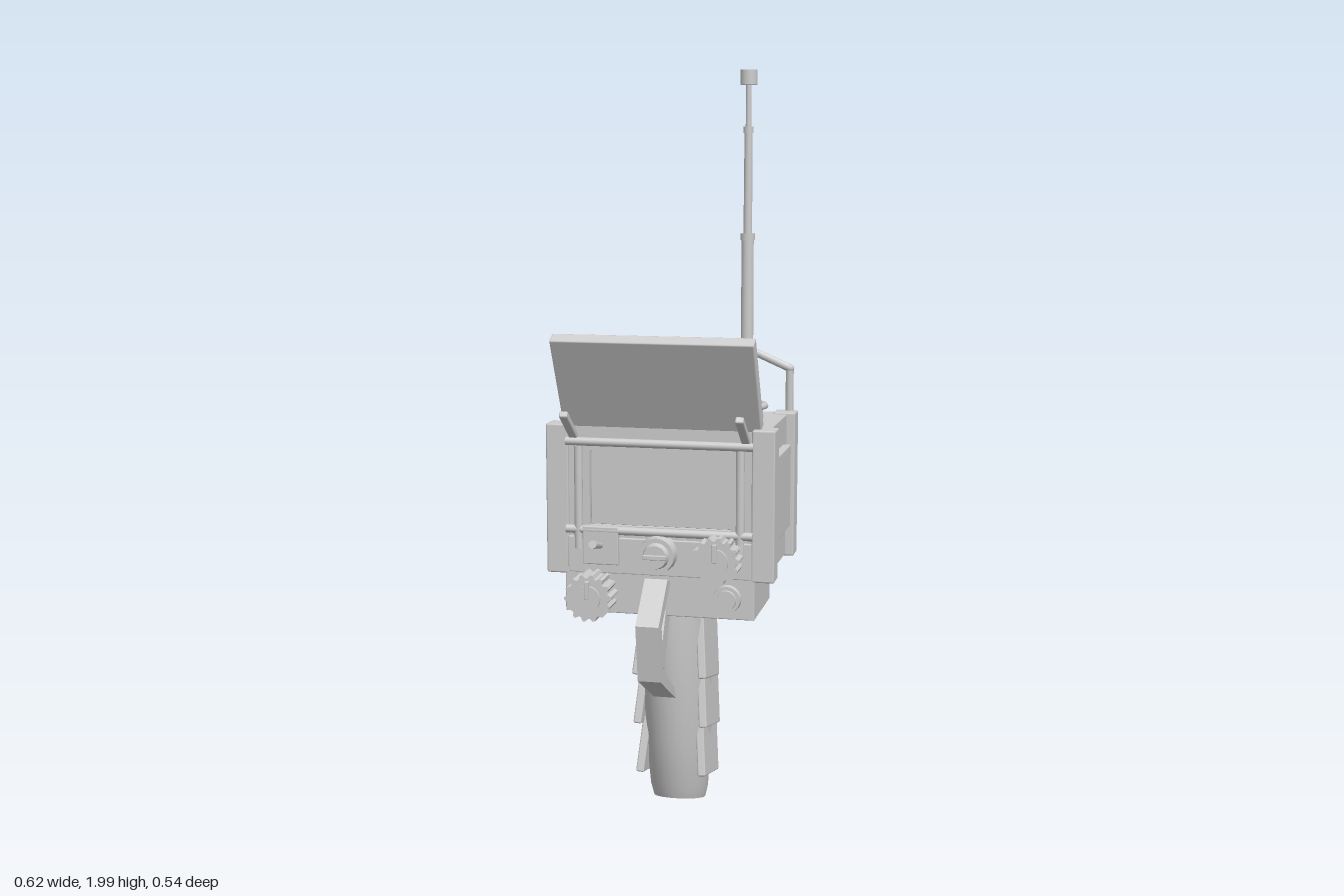
import * as THREE from 'three';
import { RoundedBoxGeometry } from 'three/addons/geometries/RoundedBoxGeometry.js';
import { toCreasedNormals } from 'three/addons/utils/BufferGeometryUtils.js';

export function createModel() {
  const root = new THREE.Group();
  root.name = 'handheldScanner';
  const grey = new THREE.MeshStandardMaterial({ color: 0xcccccc });
  grey.name = 'light grey';

  const add = (name, geo, x = 0, y = 0, z = 0, parent = root) => {
    const m = new THREE.Mesh(geo, grey);
    m.name = name;
    m.position.set(x, y, z);
    parent.add(m);
    return m;
  };
  // Box given by its limits on each axis
  const box = (name, [x0, x1], [y0, y1], [z0, z1], r = 0.003) =>
    add(name, new RoundedBoxGeometry(x1 - x0, y1 - y0, z1 - z0, 1, r),
      (x0 + x1) / 2, (y0 + y1) / 2, (z0 + z1) / 2);
  const cylY = (name, r0, r1, y0, y1, x, z, n = 16) =>
    add(name, new THREE.CylinderGeometry(r1, r0, y1 - y0, n), x, (y0 + y1) / 2, z);
  const cylZ = (name, r0, r1, z0, z1, x, y, n = 20) => {
    const m = add(name, new THREE.CylinderGeometry(r1, r0, z1 - z0, n), x, y, (z0 + z1) / 2);
    m.rotation.x = Math.PI / 2;
    return m;
  };
  // Side outline of (z, y) points, extruded across x
  const sidePlate = (name, points, width) => {
    const shape = new THREE.Shape(points.map(p => new THREE.Vector2(...p)));
    const geo = new THREE.ExtrudeGeometry(shape, { depth: width, bevelEnabled: false });
    geo.translate(0, 0, -width / 2).rotateY(-Math.PI / 2);
    return add(name, geo);
  };

  // Housing, corner posts and side plates
  box('housing', [-0.277, 0.277], [0.715, 1.098], [-0.237, 0.105]);
  for (const s of [-1, 1]) {
    const span = (a, b) => s > 0 ? [a, b] : [-b, -a];
    box('frontPost', span(0.24, 0.3), [0.71, 1.103], [0.07, 0.133], 0.005);
    box('rearPost', span(0.24, 0.3), [0.71, 1.103], [-0.25, -0.19], 0.005);
    box('sidePlate', span(0.26, 0.297), [0.805, 1.025], [-0.145, 0.07]);
  }

  // Button panel on the right side
  box('buttonPanel', [-0.305, -0.29], [0.88, 1.01], [-0.055, 0.03]);
  for (let i = 0; i < 4; i++) {
    const y = 0.91 + i * 0.024;
    box('sideButton', [-0.311, -0.3], [y, y + 0.014], [-0.022, -0.008], 0.002);
  }

  // Roof: raised plate, small stud and louvred vent
  box('roofPlate', [-0.277, -0.14], [1.09, 1.104], [-0.223, 0.065]);
  box('roofStud', [-0.208, -0.192], [1.1, 1.112], [-0.08, -0.064], 0.002);
  box('ventBase', [-0.133, 0.135], [1.09, 1.102], [-0.166, 0.03], 0.002);
  for (let i = 0; i < 9; i++) {
    const slat = add('ventSlat', new THREE.BoxGeometry(0.266, 0.006, 0.021), 0.001, 1.104, -0.154 + i * 0.0215);
    slat.rotation.x = 0.25;
  }

  // Telescopic antenna
  const ax = 0.18, az = -0.122;
  cylY('antennaFlange', 0.046, 0.044, 1.095, 1.125, ax, az);
  const ring = add('antennaRing', new THREE.TorusGeometry(0.05, 0.009, 8, 14), ax, 1.13, az);
  ring.rotation.x = Math.PI / 2;
  cylY('antennaSocket', 0.03, 0.024, 1.1, 1.195, ax, az);
  cylY('antennaLower', 0.017, 0.016, 1.18, 1.57, ax, az);
  cylY('antennaCollar', 0.019, 0.019, 1.565, 1.583, ax, az);
  cylY('antennaMiddle', 0.0115, 0.0105, 1.58, 1.845, ax, az);
  cylY('antennaCollar', 0.0135, 0.0135, 1.84, 1.857, ax, az);
  cylY('antennaUpper', 0.0075, 0.007, 1.855, 1.965, ax, az);
  cylY('antennaCap', 0.022, 0.022, 1.962, 2.0, ax, az);

  // Drooping side arms on the antenna
  for (const s of [-1, 1]) {
    const pts = [[0, 1.282], [0.115 * s, 1.232], [0.115 * s, 1.12]]
      .map(([x, y]) => new THREE.Vector3(ax + x, y, az));
    for (let i = 0; i < 2; i++) {
      const d = pts[i + 1].clone().sub(pts[i]);
      const bar = add('antennaArm', new THREE.CylinderGeometry(0.0105, 0.0105, d.length(), 8));
      bar.position.copy(pts[i]).addScaledVector(d, 0.5);
      bar.quaternion.setFromUnitVectors(new THREE.Vector3(0, 1, 0), d.normalize());
    }
    add('antennaElbow', new THREE.SphereGeometry(0.012, 8, 6), pts[1].x, pts[1].y, az);
  }

  // Open lid and its two struts
  const lid = add('lid', new RoundedBoxGeometry(0.52, 0.265, 0.036, 1, 0.004), 0, 1.218, 0.15);
  lid.rotation.x = 0.487;
  for (const s of [-1, 1]) {
    const strut = add('lidStrut', new RoundedBoxGeometry(0.022, 0.018, 0.125, 1, 0.004), 0.225 * s, 1.107, 0.176);
    strut.rotation.x = -0.63;
  }

  // Screen surround with rails
  const rect = (P, x0, x1, y0, y1) => {
    const p = new P();
    p.moveTo(x0, y0); p.lineTo(x1, y0); p.lineTo(x1, y1); p.lineTo(x0, y1); p.closePath();
    return p;
  };
  const bezel = rect(THREE.Shape, -0.242, 0.242, 0.72, 1.055);
  bezel.holes.push(rect(THREE.Path, -0.185, 0.185, 0.84, 1.035));
  add('screenBezel', new THREE.ExtrudeGeometry(bezel, { depth: 0.025, bevelEnabled: false }), 0, 0, 0.1);
  box('screen', [-0.185, 0.185], [0.84, 1.035], [0.1, 0.108], 0.001);
  for (const s of [-1, 1]) cylY('screenRail', 0.011, 0.011, 0.78, 1.05, 0.212 * s, 0.135, 10);
  for (const y of [0.83, 1.06]) {
    const rail = cylZ('screenCrossRail', 0.011, 0.011, -0.245, 0.245, 0, y, 10);
    rail.rotation.set(0, 0, Math.PI / 2);
    rail.position.z = 0.135;
  }

  // Control strip and lower chassis
  box('controlStrip', [-0.242, 0.242], [0.715, 0.81], [0.1, 0.133]);
  box('lowerChassis', [-0.25, 0.25], [0.61, 0.72], [-0.105, 0.132]);

  // Ribbed knobs
  const knob = (x, y, r, length) => {
    const shape = new THREE.Shape();
    const n = 14;
    for (let i = 0; i < n * 4; i++) {
      const a = i / (n * 4) * Math.PI * 2, q = i % 4 < 2 ? r : r * 0.86;
      shape[i ? 'lineTo' : 'moveTo'](Math.cos(a) * q, Math.sin(a) * q);
    }
    add('ribbedKnob', new THREE.ExtrudeGeometry(shape, { depth: length, bevelEnabled: false }), x, y, 0.135);
    cylZ('knobCap', r * 0.62, r * 0.55, 0.13, 0.142 + length, x, y);
    box('knobPointer', [x - 0.006, x + 0.006], [y, y + r * 0.75], [0.13 + length, 0.148 + length], 0.002);
  };
  knob(0.16, 0.775, 0.062, 0.065);
  knob(-0.17, 0.665, 0.062, 0.075);

  // Small dial, centre button and toggle switch
  cylZ('smallDialRim', 0.037, 0.035, 0.13, 0.148, 0.18, 0.665);
  cylZ('smallDial', 0.027, 0.025, 0.14, 0.155, 0.18, 0.665);
  cylZ('centreButtonBase', 0.05, 0.046, 0.125, 0.165, 0, 0.775);
  cylZ('centreButton', 0.036, 0.03, 0.16, 0.182, 0, 0.775);
  box('centreButtonBar', [-0.03, 0.03], [0.769, 0.781], [0.175, 0.19], 0.002);
  box('switchPlate', [-0.2, -0.105], [0.74, 0.84], [0.12, 0.145]);
  const toggle = cylZ('toggleSwitch', 0.007, 0.011, 0.14, 0.225, -0.152, 0.8, 10);
  toggle.rotation.x = Math.PI / 2 - 0.25;

  // Trigger and guard
  sidePlate('triggerGuard', [[0.165, 0.715], [0.268, 0.615], [0.243, 0.465], [0.065, 0.37],
    [0.08, 0.4], [0.208, 0.488], [0.232, 0.605], [0.13, 0.7]], 0.06);
  sidePlate('trigger', [[0.14, 0.625], [0.08, 0.625], [0.155, 0.475], [0.205, 0.505]], 0.04);

  // Grip from elliptical sections: y, front z, rear z, half width, floor slope
  const sections = [
    [0.031, -0.035, -0.208, 0.07, 0.25], [0.065, -0.022, -0.216, 0.078, 0.22],
    [0.2, 0.008, -0.226, 0.088, 0.12], [0.32, 0.028, -0.225, 0.093, 0.05],
    [0.45, 0.045, -0.215, 0.094, 0], [0.6, 0.058, -0.187, 0.088, 0], [0.72, 0.06, -0.165, 0.084, 0]];
  const gripGeo = new THREE.CylinderGeometry(1, 1, sections.length - 1, 28, sections.length - 1);
  const pos = gripGeo.attributes.position;
  for (let i = 0; i < pos.count; i++) {
    const [y, zf, zb, w, slope] = sections[Math.round(pos.getY(i) + (sections.length - 1) / 2)];
    const dz = pos.getZ(i) * (zf - zb) / 2;
    pos.setXYZ(i, pos.getX(i) * w, y + dz * slope, (zf + zb) / 2 + dz);
  }
  add('grip', toCreasedNormals(gripGeo, 0.7));

  // Overlapping grip scales on both sides
  const scales = [[0.475, -0.085, 0.085], [0.335, -0.098, 0.085], [0.195, -0.107, 0.08]];
  for (const s of [-1, 1]) for (const [y, z, x] of scales) {
    const scale = add('gripScale', new RoundedBoxGeometry(0.022, 0.168, 0.175, 1, 0.004), x * s, y, z);
    scale.rotation.set(-0.22, 0, 0.09 * s, 'ZXY');
  }

  // Thumb rest behind the grip
  const rest = add('thumbRest', new RoundedBoxGeometry(0.197, 0.036, 0.165, 1, 0.004), 0, 0.667, -0.187);
  rest.rotation.x = -0.12;
  box('gripMount', [-0.09, 0.09], [0.65, 0.72], [-0.18, -0.1]);

  return root;
}
